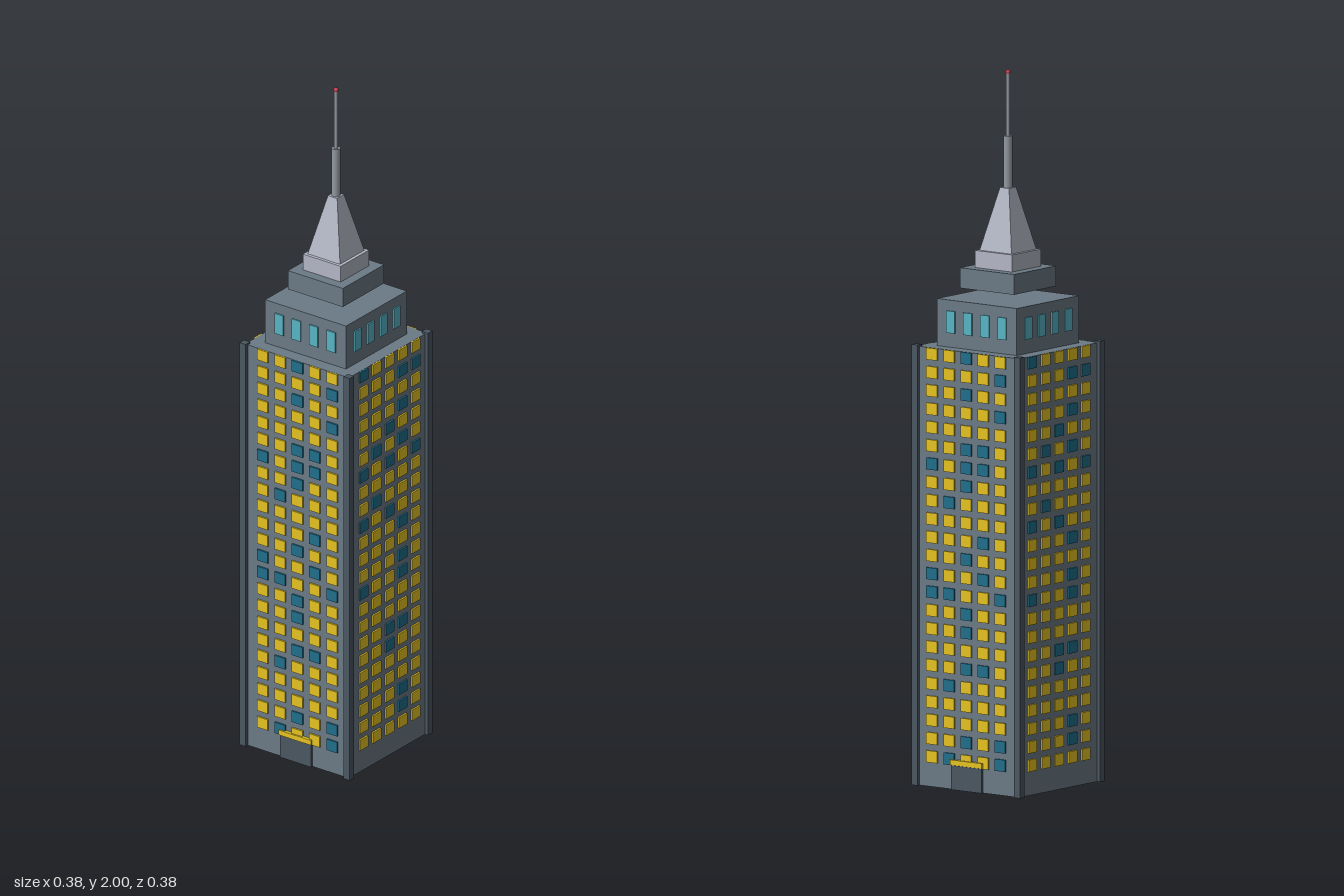
import * as THREE from 'three';

const mat = (color, flatShading = false) => new THREE.MeshStandardMaterial({ color, flatShading });
const wall = mat(0x6b7a86), dark = mat(0x4a5761), lit = mat(0xe6c422), unlit = mat(0x1f6f8a);
const glass = mat(0x58b4c6), pale = mat(0xb4b8c6, true), steel = mat(0x9499a2), red = mat(0xd04050);

const HALF = 0.18;       // half width of the shaft
const ROWS = 23, COLS = 5;

// Unlit window columns for each row, top row first
const frontUnlit = ['2', '4', '2', '4', '', '23', '023', '2', '1', '', '3', '2', '03', '014', '2', '2', '', '23', '1', '', '', '24', '14'];
const sideUnlit = ['0', '34', '', '3', '2', '13', '024', '', '1', '02', '3', '', '3', '03', '', '', '23', '2', '', '', '3', '3', ''];

function add(parent, name, geometry, material, x, y, z) {
  const mesh = new THREE.Mesh(geometry, material);
  mesh.name = name;
  mesh.position.set(x, y, z);
  parent.add(mesh);
  return mesh;
}

// Square block from y0 to y1
function block(parent, name, width, y0, y1, material) {
  return add(parent, name, new THREE.BoxGeometry(width, y1 - y0, width), material, 0, (y0 + y1) / 2, 0);
}

// Round rod from y0 to y1
function rod(parent, name, radius, y0, y1, material) {
  return add(parent, name, new THREE.CylinderGeometry(radius, radius, y1 - y0, 12), material, 0, (y0 + y1) / 2, 0);
}

export function createModel() {
  const model = new THREE.Group();
  const tower = new THREE.Group();
  tower.name = 'tower';
  tower.position.set(0.0215, 0, -0.056);
  model.add(tower);

  // Shaft, corner piers and stepped crown
  block(tower, 'shaft', HALF * 2, 0, 1.23, wall);
  for (const sx of [-1, 1]) for (const sz of [-1, 1]) {
    add(tower, 'cornerPier', new THREE.BoxGeometry(0.021, 1.235, 0.021), dark, sx * HALF, 0.6175, sz * HALF);
  }
  block(tower, 'observationTier', 0.28, 1.23, 1.362, wall);
  block(tower, 'upperTier', 0.19, 1.39, 1.447, wall);
  block(tower, 'spireBase', 0.131, 1.447, 1.495, pale);

  // Four-sided spire and antenna
  const spire = new THREE.CylinderGeometry(0.016 * Math.SQRT2, 0.056 * Math.SQRT2, 0.175, 4);
  spire.rotateY(Math.PI / 4);
  add(tower, 'spire', spire, pale, 0, 1.5825, 0);
  rod(tower, 'mast', 0.0125, 1.67, 1.815, steel);
  rod(tower, 'antenna', 0.006, 1.815, 1.994, steel);
  add(tower, 'beacon', new THREE.SphereGeometry(0.007, 10, 8), red, 0, 1.993, 0);

  // Windows on the four faces, turned from the front
  const pane = new THREE.BoxGeometry(0.037, 0.033, 0.01);
  const crownPane = new THREE.BoxGeometry(0.03, 0.062, 0.008);
  for (let f = 0; f < 4; f++) {
    const face = new THREE.Group();
    face.name = ['frontFace', 'leftFace', 'backFace', 'rightFace'][f];
    face.rotation.y = f * Math.PI / 2;
    tower.add(face);

    const pattern = f % 2 ? sideUnlit : frontUnlit;
    const shift = f < 2 ? 0.004 : -0.004;
    for (let r = 0; r < ROWS; r++) for (let c = 0; c < COLS; c++) {
      const isUnlit = pattern[r].includes(String(c));
      add(face, 'window', pane, isUnlit ? unlit : lit,
        (c - 2) * 0.06 + (f === 1 ? 0.004 : shift), 1.213 - r * 0.0513, HALF);
    }
    for (let c = 0; c < 4; c++) {
      add(face, 'crownWindow', crownPane, glass, (c - 1.5) * 0.06, 1.301, 0.14);
    }

    // Entrances at front and back
    if (f % 2 === 0) {
      add(face, 'door', new THREE.BoxGeometry(0.107, 0.068, 0.014), dark, 0, 0.034, HALF);
      add(face, 'doorCanopy', new THREE.BoxGeometry(0.112, 0.015, 0.02), lit, 0, 0.0765, HALF);
    }
  }
  return model;
}
